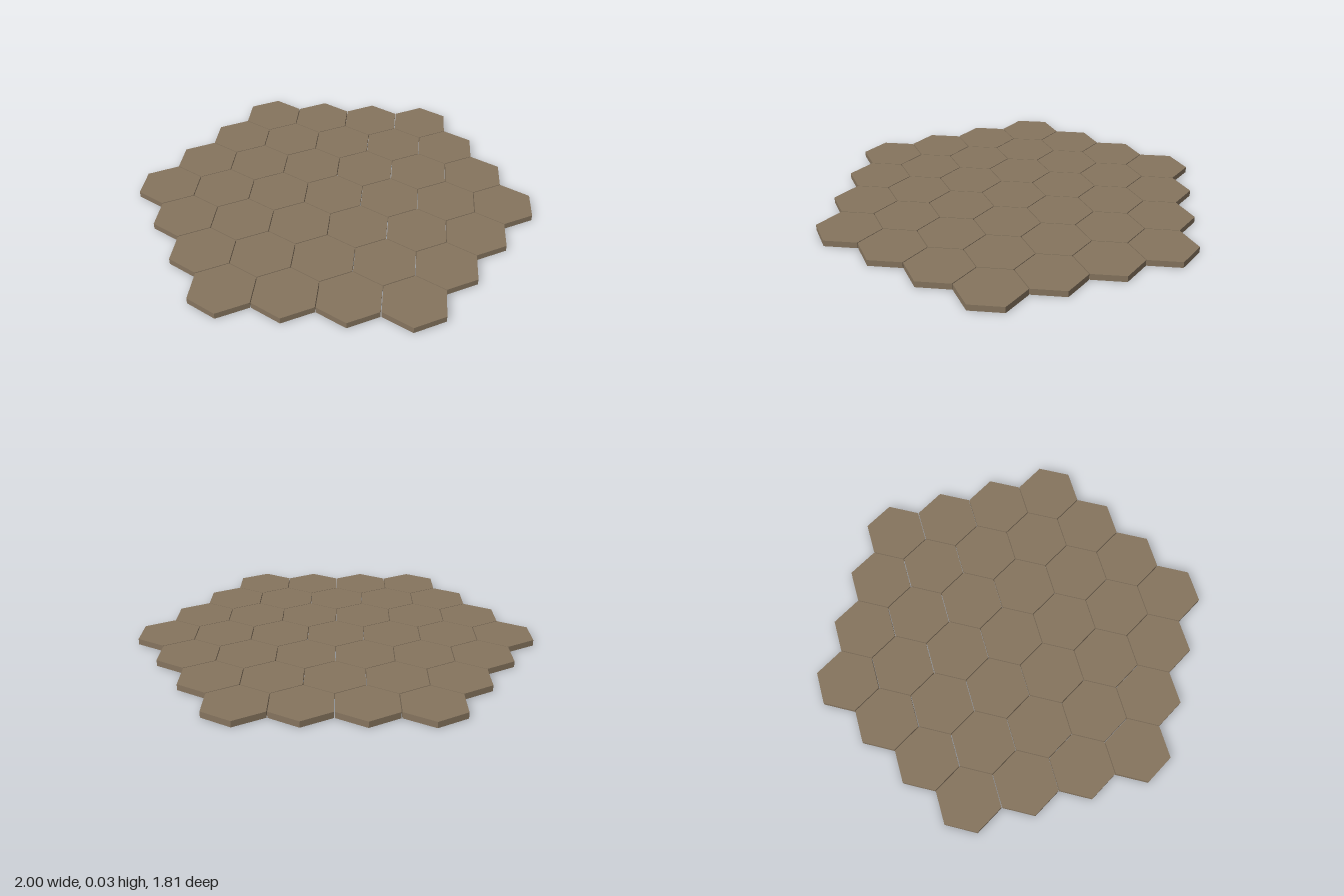
import * as THREE from 'three';
import { mergeGeometries } from 'three/addons/utils/BufferGeometryUtils.js';

const RINGS = 3;        // rings of tiles around the centre tile
const RADIUS = 0.163;   // centre to corner of one tile
const HEIGHT = 0.03;
const PITCH = (2 - Math.sqrt(3) * RADIUS) / (2 * RINGS); // spacing along x
const ROW = PITCH * Math.sqrt(3) / 2;                    // spacing along z

// A hexagonal cap: top face and six walls, open underneath
function tileGeometry() {
  const walls = new THREE.CylinderGeometry(RADIUS, RADIUS, HEIGHT, 6, 1, true);
  walls.translate(0, HEIGHT / 2, 0);
  const top = new THREE.CircleGeometry(RADIUS, 6, Math.PI / 2);
  top.rotateX(-Math.PI / 2).translate(0, HEIGHT, 0);
  return mergeGeometries([walls, top]);
}

export function createModel() {
  const model = new THREE.Group();
  model.name = 'hexTileFloor';
  const material = new THREE.MeshStandardMaterial({
    color: 0x85745e, flatShading: true, side: THREE.DoubleSide,
  });
  const geometry = tileGeometry();

  // Rows of 4, 5, 6, 7, 6, 5, 4 tiles, each centred on x = 0
  for (let row = -RINGS; row <= RINGS; row++) {
    const count = 2 * RINGS + 1 - Math.abs(row);
    for (let i = 0; i < count; i++) {
      const tile = new THREE.Mesh(geometry, material);
      tile.name = `hexTile_row${row + RINGS + 1}_${i + 1}`;
      tile.position.set((i - (count - 1) / 2) * PITCH, 0, row * ROW);
      model.add(tile);
    }
  }
  return model;
}
